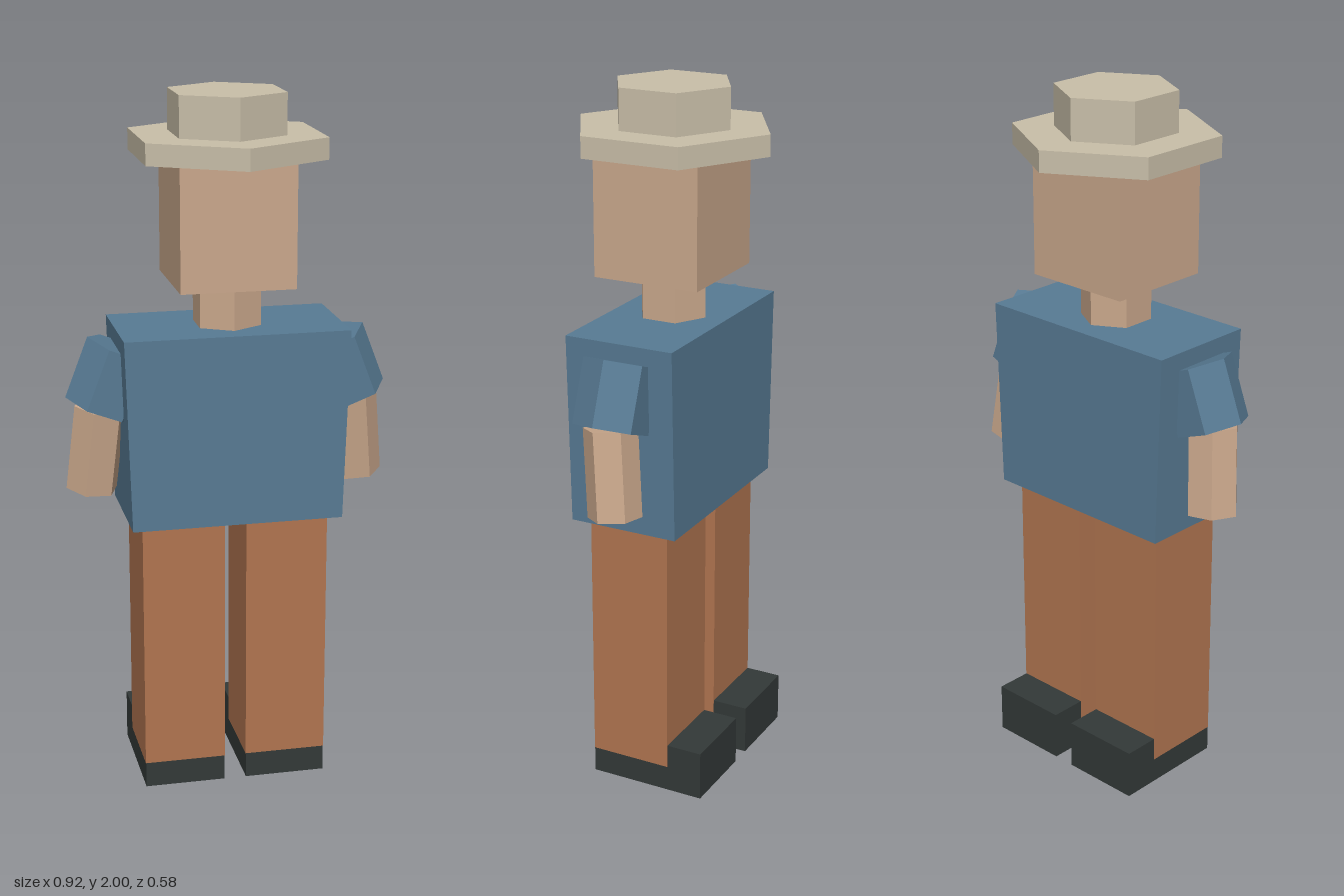
import * as THREE from 'three';

const mat = (name, color) => {
  const m = new THREE.MeshStandardMaterial({ color });
  m.name = name;
  return m;
};

export function createModel() {
  const group = new THREE.Group();
  const skin = mat('skin', 0xcaa88c);
  const shirtBlue = mat('shirt blue', 0x587b94);
  const trouserBrown = mat('trouser brown', 0xb17550);
  const shoeBlack = mat('shoe black', 0x333938);
  const hatBeige = mat('hat beige', 0xc9bfa9);

  const add = (name, geometry, material, x = 0, y = 0, z = 0) => {
    const mesh = new THREE.Mesh(geometry, material);
    mesh.name = name;
    mesh.position.set(x, y, z);
    group.add(mesh);
    return mesh;
  };

  // Six-sided prism with hard edges
  const hex = (radius, height, turn = 0) => {
    const g = new THREE.CylinderGeometry(radius, radius, height, 6).toNonIndexed();
    g.computeVertexNormals();
    return g.rotateY(turn);
  };

  // Polygon outline extruded to a depth centred on z = 0
  const slab = (points, depth) => {
    const shape = new THREE.Shape(points.map(([x, y]) => new THREE.Vector2(x, y)));
    return new THREE.ExtrudeGeometry(shape, { depth, bevelEnabled: false }).translate(0, 0, -depth / 2);
  };

  // Six-sided limb segment between two points, mirrored by side
  const limb = (name, material, radius, side, top, bottom, twist) => {
    const a = new THREE.Vector3(side * top[0], top[1], top[2]);
    const b = new THREE.Vector3(side * bottom[0], bottom[1], bottom[2]);
    const axis = a.clone().sub(b);
    const mesh = add(name, hex(radius, axis.length(), side * (Math.PI / 2 - twist)), material);
    mesh.position.copy(a).add(b).multiplyScalar(0.5);
    mesh.quaternion.setFromUnitVectors(new THREE.Vector3(0, 1, 0), axis.normalize());
  };

  // Hat, head and neck
  add('hatCrown', hex(0.171, 0.115), hatBeige, 0, 1.9425, 0);
  add('hatBrim', hex(0.288, 0.06), hatBeige, 0, 1.855, 0);
  add('head', new THREE.BoxGeometry(0.322, 0.347, 0.314), skin, 0, 1.6515, 0.002);
  add('neck', hex(0.1, 0.125), skin, 0, 1.4175, 0);

  // Shirt body, slightly narrower at the hem
  add('torso', slab([[-0.3, 0.81], [0.3, 0.81], [0.317, 1.355], [-0.317, 1.355]], 0.322), shirtBlue);

  for (const side of [1, -1]) {
    const prefix = side > 0 ? 'left' : 'right';
    // Arms
    limb(prefix + 'Sleeve', shirtBlue, 0.103, side, [0.298, 1.298, 0], [0.363, 1.128, 0], 0);
    limb(prefix + 'Forearm', skin, 0.075, side, [0.362, 1.135, 0], [0.387, 0.888, -0.025], 0.16);
    // Legs
    add(prefix + 'TrouserLeg', new THREE.BoxGeometry(0.236, 0.735, 0.24), trouserBrown, side * 0.149, 0.4425, 0);
    // Shoes, with a raised toe toward -z
    const shoe = slab([[-0.12, 0], [0.226, 0], [0.226, 0.145], [0.12, 0.145], [0.12, 0.075], [-0.12, 0.075]], 0.234);
    add(prefix + 'Shoe', shoe.rotateY(Math.PI / 2), shoeBlack, side * 0.149, 0, 0);
  }
  return group;
}
